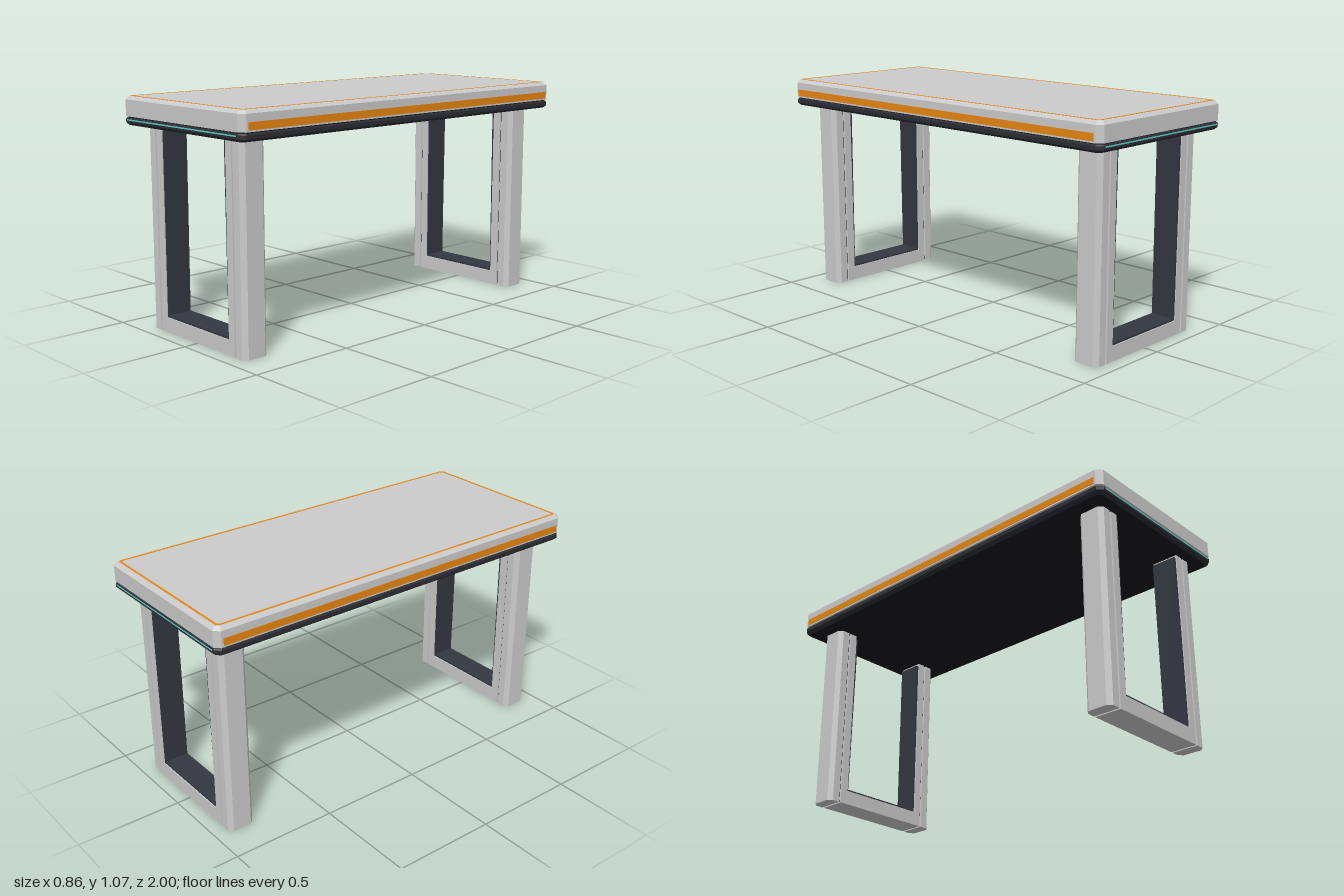
import * as THREE from 'three';

const mat = (color) => new THREE.MeshStandardMaterial({ color, flatShading: true });
const grey = mat(0xcccccc), dark = mat(0x2a2d33), lining = mat(0x333740);
const black = mat(0x16171b), orange = mat(0xe8860e), teal = mat(0x5fd0c8);

function add(parent, name, geometry, material, x = 0, y = 0, z = 0) {
  const mesh = new THREE.Mesh(geometry, material);
  mesh.name = name;
  mesh.position.set(x, y, z);
  parent.add(mesh);
  return mesh;
}

// Box given by its min and max corners
function block(parent, name, material, [x0, y0, z0], [x1, y1, z1]) {
  return add(parent, name, new THREE.BoxGeometry(x1 - x0, y1 - y0, z1 - z0), material,
    (x0 + x1) / 2, (y0 + y1) / 2, (z0 + z1) / 2);
}

// Rectangle with cut corners, counter-clockwise
function cutRect(hx, hz, c) {
  return [[hx, -hz + c], [hx, hz - c], [hx - c, hz], [-hx + c, hz],
    [-hx, hz - c], [-hx, -hz + c], [-hx + c, -hz], [hx - c, -hz]];
}

// Plate lofted through cut-corner sections [y, inset], bottom to top
function plate(hx, hz, cut, sections) {
  const n = 8, pos = [], index = [];
  sections.forEach(([y, inset]) => {
    cutRect(hx - inset, hz - inset, cut - inset * 0.59).forEach(([x, z]) => pos.push(x, y, z));
  });
  for (let s = 0; s < sections.length - 1; s++) {
    for (let i = 0; i < n; i++) {
      const a = s * n + i, b = s * n + (i + 1) % n;
      index.push(a, a + n, b, b, a + n, b + n);
    }
  }
  const top = (sections.length - 1) * n;
  for (let i = 1; i < n - 1; i++) {
    index.push(0, i, i + 1, top, top + i + 1, top + i);
  }
  const g = new THREE.BufferGeometry();
  g.setAttribute('position', new THREE.Float32BufferAttribute(pos, 3));
  g.setIndex(index);
  const flat = g.toNonIndexed();
  flat.computeVertexNormals();
  return flat;
}

const shapeOf = (pts) => new THREE.Shape(pts.map(([x, y]) => new THREE.Vector2(x, y)));
const extrude = (shape, depth) => new THREE.ExtrudeGeometry(shape, { depth, bevelEnabled: false });

function buildTop() {
  const g = new THREE.Group();
  g.name = 'tableTop';
  add(g, 'slab', plate(0.43, 1, 0.025, [[0.98, 0], [1.055, 0], [1.07, 0.015]]), grey);
  add(g, 'shadowGap', plate(0.42, 0.99, 0.025, [[0.965, 0], [0.985, 0]]), black);
  add(g, 'underTray', plate(0.43, 1, 0.025, [[0.94, 0.014], [0.952, 0], [0.968, 0], [0.975, 0.006]]), dark);
  add(g, 'underside', plate(0.412, 0.982, 0.02, [[0.939, 0], [0.945, 0]]), black);

  // Inlay line around the top surface
  const ring = shapeOf(cutRect(0.407, 0.977, 0.012));
  ring.holes.push(new THREE.Path(cutRect(0.397, 0.967, 0.008).map(([x, y]) => new THREE.Vector2(x, y))));
  add(g, 'topInlay', extrude(ring, 0.004), orange, 0, 1.067, 0).rotation.x = -Math.PI / 2;

  // Stripes along the long sides and light lines across the ends
  for (const s of [-1, 1]) {
    add(g, 'sideStripe', new THREE.BoxGeometry(0.006, 0.033, 1.93), orange, s * 0.4285, 1.004, 0);
    add(g, 'endLine', new THREE.BoxGeometry(0.79, 0.006, 0.004), teal, 0, 0.9645, s * 0.9995);
  }
  return g;
}

function buildLeg() {
  const g = new THREE.Group();
  g.name = 'legFrame';
  const d = 0.065, top = 0.945;

  // U-shaped frame
  const u = shapeOf([[-0.27, 0], [0.27, 0], [0.27, top], [0.23, top], [0.23, 0.07],
    [-0.23, 0.07], [-0.23, top], [-0.27, top]]);
  add(g, 'innerFrame', extrude(u, 2 * d), grey, 0, 0, -d);
  block(g, 'bottomLining', lining, [-0.23, 0.068, -0.06], [0.23, 0.079, 0.06]);

  for (const s of [-1, 1]) {
    // Outer post with chamfered outer edges
    const pts = [[0.28, -d], [0.32, -d], [0.34, -d + 0.02], [0.34, d - 0.02], [0.32, d], [0.28, d]];
    add(g, 'outerPost', extrude(shapeOf(pts.map(([x, z]) => [s * x, z])), top), grey, 0, top, 0)
      .rotation.x = Math.PI / 2;
    add(g, 'postGroove', new THREE.BoxGeometry(0.014, top - 0.005, 0.11), black, s * 0.275, 0.475, 0);
    // Slightly tapered inner lining
    const strip = shapeOf([[0.231, 0.07], [0.223, 0.07], [0.217, 0.925], [0.231, 0.925]]
      .map(([x, y]) => [s * x, y]));
    add(g, 'sideLining', extrude(strip, 0.12), lining, 0, 0, -0.06);
  }
  return g;
}

export function createModel() {
  const model = new THREE.Group();
  model.name = 'table';
  model.add(buildTop());
  for (const s of [-1, 1]) {
    const leg = buildLeg();
    leg.position.z = s * 0.867;
    model.add(leg);
  }
  return model;
}
